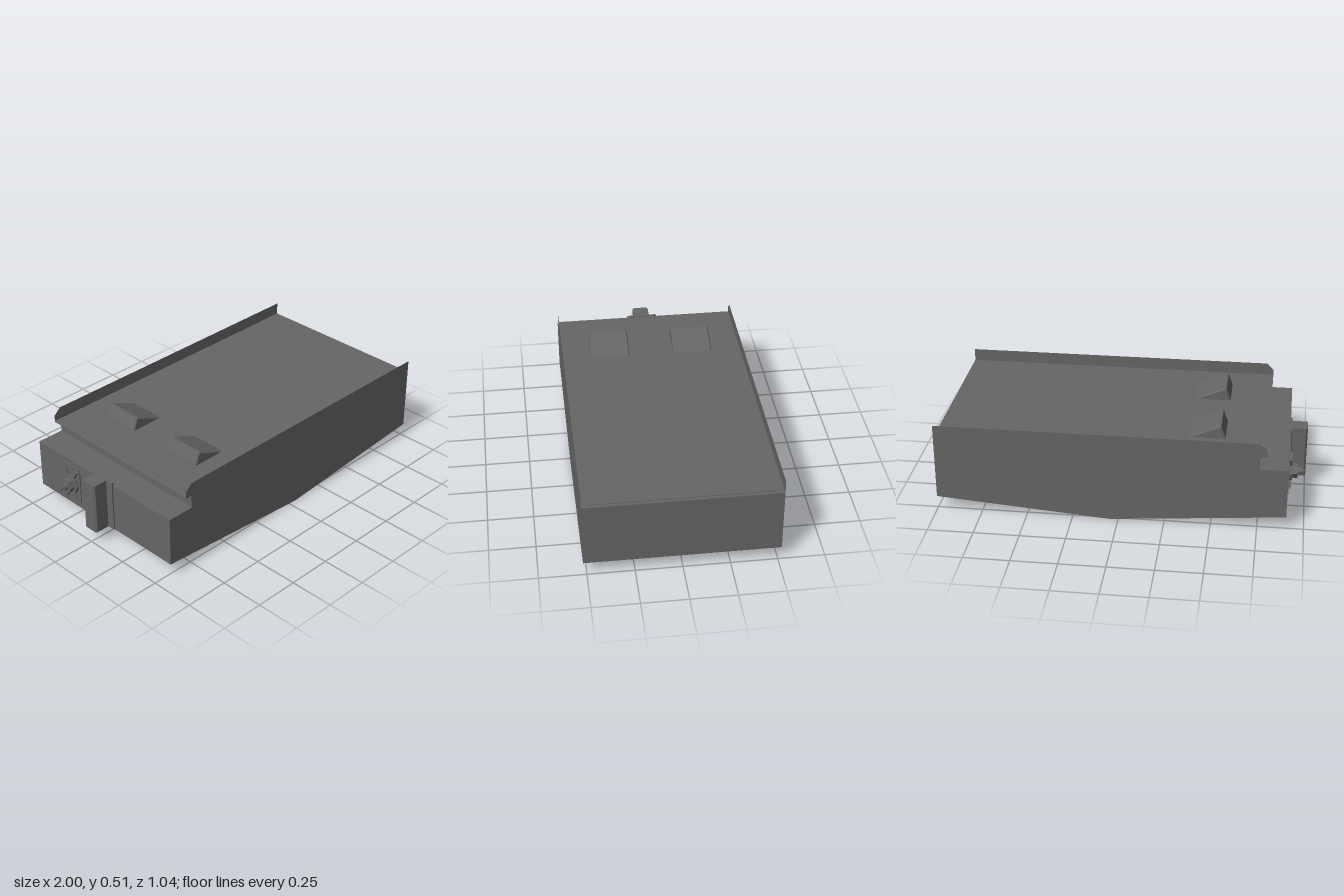
import * as THREE from 'three';

const HALF = 0.518; // half width of the hull

function shapeOf(points) {
  return new THREE.Shape(points.map(([x, y]) => new THREE.Vector2(x, y)));
}

export function createModel() {
  const model = new THREE.Group();
  const grey = new THREE.MeshStandardMaterial({ color: 0x666666, flatShading: true, side: THREE.DoubleSide });
  grey.name = 'dark grey';

  function add(name, geometry, x = 0, y = 0, z = 0, parent = model) {
    const mesh = new THREE.Mesh(geometry, grey);
    mesh.name = name;
    mesh.position.set(x, y, z);
    parent.add(mesh);
    return mesh;
  }

  // Hull: shallow V underside, stepped rear end and thin deck lip
  const hull = shapeOf([
    [-0.905, 0.08], [0.045, 0.003], [1, 0.08], [1, 0.44], [-0.79, 0.44],
    [-0.79, 0.434], [-0.75, 0.434], [-0.75, 0.36], [-0.905, 0.36],
  ]);
  add('hull', new THREE.ExtrudeGeometry(hull, { depth: HALF * 2, bevelEnabled: false }), 0, 0, -HALF);

  // Thin raised plate on the deck
  add('deckPlate', new THREE.BoxGeometry(1.74, 0.004, 0.96), 0.11, 0.442, 0);

  // Sheet rails along both sides
  const rail = shapeOf([[-0.79, 0.44], [1, 0.44], [1, 0.51], [-0.75, 0.51], [-0.79, 0.472]]);
  for (const side of [-1, 1]) {
    add(side > 0 ? 'frontRail' : 'backRail', new THREE.ShapeGeometry(rail), 0, 0, side * HALF);
  }

  // Two ramp blocks on the deck, with softened edges
  const wedge = shapeOf([[-0.56, 0.435], [-0.36, 0.435], [-0.36, 0.444], [-0.52, 0.512], [-0.535, 0.512], [-0.56, 0.447]]);
  const bevel = { depth: 0.208, bevelEnabled: true, bevelSegments: 1, bevelSize: 0.007, bevelThickness: 0.007, bevelOffset: -0.007 };
  for (const z of [-0.24, 0.24]) {
    add('rampBlock', new THREE.ExtrudeGeometry(wedge, bevel), 0, 0, z - 0.104);
  }

  // Upright grip on the end face, flared at its foot
  const grip = shapeOf([
    [-0.9, -0.088], [-0.912, -0.088], [-0.915, -0.046], [-0.99, -0.046], [-1, -0.036],
    [-1, 0.036], [-0.99, 0.046], [-0.915, 0.046], [-0.912, 0.088], [-0.9, 0.088],
  ]);
  const gripGeometry = new THREE.ExtrudeGeometry(grip, { depth: 0.295, bevelEnabled: false });
  gripGeometry.rotateX(-Math.PI / 2);
  add('grip', gripGeometry, 0, 0.083, 0);

  // Coupling: backing plate, stacked collars and a spindle along -x
  const coupling = new THREE.Group();
  coupling.name = 'coupling';
  coupling.position.set(-0.905, 0.22, -0.245);
  model.add(coupling);
  add('couplingPlate', new THREE.BoxGeometry(0.006, 0.22, 0.13), -0.002, 0, 0, coupling);
  const steps = [
    ['collar', 0.055, 0.02, 8, 0.01],
    ['nut', 0.04, 0.035, 6, 0.032],
    ['neck', 0.02, 0.025, 8, 0.06],
    ['spindle', 0.008, 0.03, 8, 0.078],
  ];
  for (const [name, radius, length, sides, x] of steps) {
    const g = new THREE.CylinderGeometry(radius, radius, length, sides);
    g.rotateZ(Math.PI / 2);
    add(name, g, -x, 0, 0, coupling);
  }
  // Crossed arms around the coupling
  for (const angle of [-1, 1]) {
    const arm = add('couplingArm', new THREE.BoxGeometry(0.016, 0.2, 0.018), -0.01, 0, 0, coupling);
    arm.rotation.x = angle * 0.45;
  }

  return model;
}
